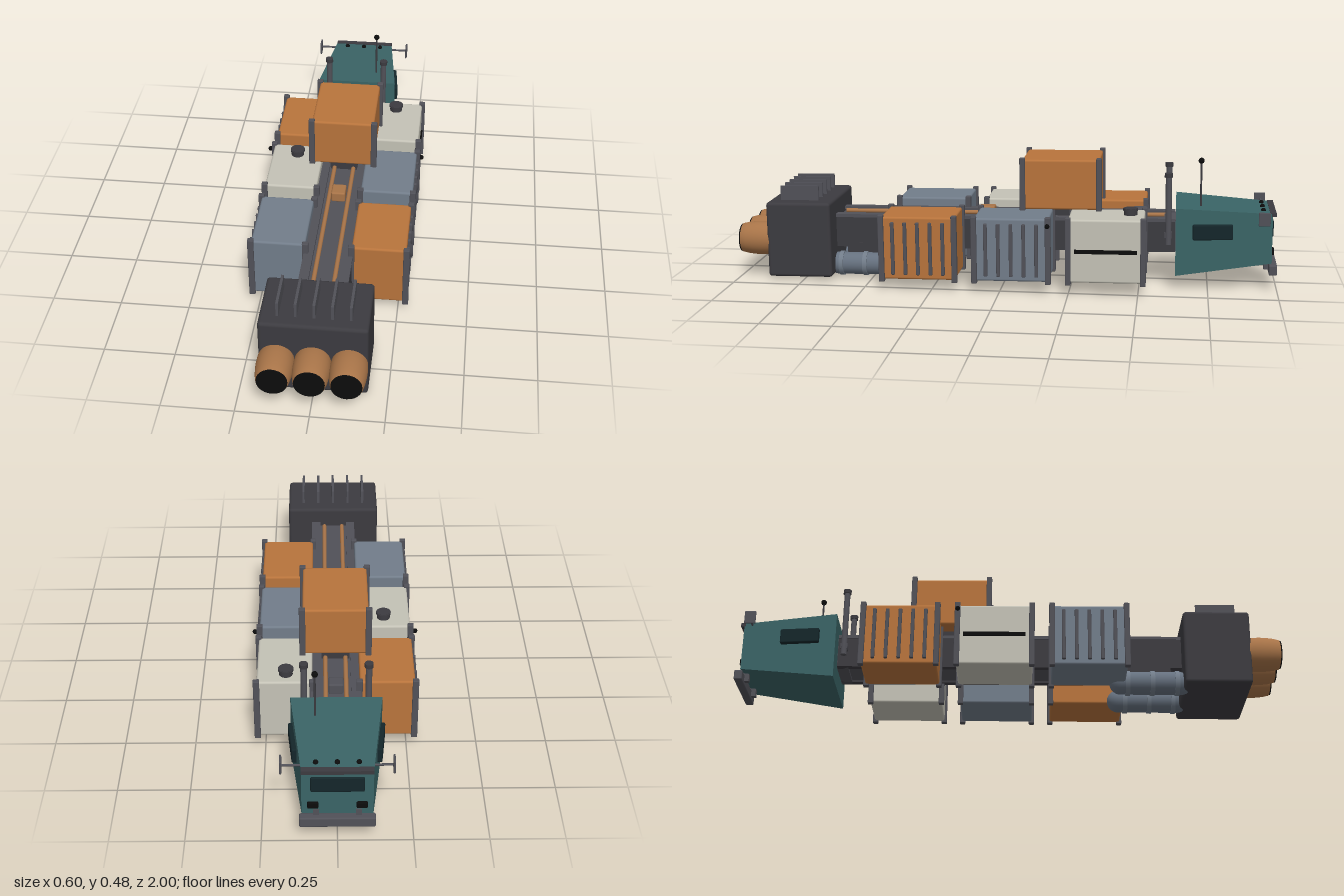
import * as THREE from 'three';
import { RoundedBoxGeometry } from 'three/addons/geometries/RoundedBoxGeometry.js';

const mat = (color, opts = {}) => new THREE.MeshStandardMaterial({ color, ...opts });
const M = {
  dark: mat(0x3c3b40), frame: mat(0x515158), orange: mat(0xb8743c), slate: mat(0x727d8a),
  cream: mat(0xc4c2b6), teal: mat(0x3a6466, { flatShading: true }), copper: mat(0xa87448), black: mat(0x0c0c0c),
  glass: mat(0x14262a), tank: mat(0x66717f),
};

function add(parent, name, geo, material, x = 0, y = 0, z = 0) {
  const m = new THREE.Mesh(geo, material);
  m.name = name;
  m.position.set(x, y, z);
  parent.add(m);
  return m;
}
const box = (w, h, d) => new THREE.BoxGeometry(w, h, d);
const rbox = (w, h, d, r = 0.006) => new RoundedBoxGeometry(w, h, d, 2, r);
const cyl = (r, h, r2 = r) => new THREE.CylinderGeometry(r, r2, h, 24);
const cylZ = (r, h) => cyl(r, h).rotateX(Math.PI / 2);

function group(parent, name) {
  const g = new THREE.Group();
  g.name = name;
  parent.add(g);
  return g;
}

// Cargo container with corner posts; side = +1 / -1 is the outward direction, 0 for none
function container(parent, color, x, y, z, w, h, d, side, tanker) {
  const g = group(parent, 'container');
  g.position.set(x, y, z);
  add(g, 'containerBody', rbox(w, h, d, 0.008), color);
  for (const sx of [-1, 1]) for (const sz of [-1, 1])
    add(g, 'cornerPost', rbox(0.022, h + 0.015, 0.02, 0.003), M.frame, sx * (w / 2 + 0.001), 0, sz * (d / 2 - 0.002));
  if (!side) return;
  if (tanker) {
    add(g, 'sideStripe', box(0.012, 0.014, d * 0.82), M.black, side * w / 2, 0, 0);
    add(g, 'hatch', cyl(0.024, 0.03), M.dark, side > 0 ? -0.005 : 0, h / 2 + 0.01, side > 0 ? -0.085 : -0.075);
    add(g, 'hatchRim', cyl(0.027, 0.008), M.dark, side > 0 ? -0.005 : 0, h / 2 + 0.02, side > 0 ? -0.085 : -0.075);
  } else {
    for (let i = -2; i <= 2; i++)
      add(g, 'sideRib', rbox(0.014, h * 0.84, 0.013, 0.003), M.frame, side * (w / 2 + 0.003), 0, i * 0.046);
  }
}

function buildSpine(root) {
  const g = group(root, 'spine');
  add(g, 'coreBeam', box(0.13, 0.1, 1.28), M.frame, 0, 0.178, 0.01);
  for (const s of [-1, 1]) {
    add(g, 'sideRail', box(0.024, 0.122, 1.28), M.dark, s * 0.072, 0.181, 0.01);
    add(g, 'railFlange', box(0.034, 0.012, 1.28), M.frame, s * 0.07, 0.24, 0.01);
    add(g, 'fuelPipe', cylZ(0.008, 1.24), M.copper, s * 0.036, 0.234, 0.01);
    for (const z of [0.295, -0.045, -0.385])
      add(g, 'containerBracket', box(0.03, 0.06, 0.1), M.frame, s * 0.085, 0.17, z);
  }
  add(g, 'valveBox', rbox(0.052, 0.04, 0.06), M.copper, 0, 0.25, 0.075);
  add(g, 'junctionBox', rbox(0.052, 0.04, 0.05), M.frame, 0, 0.25, -0.5);
  add(g, 'upperSaddle', box(0.1, 0.055, 0.2), M.dark, 0, 0.255, -0.21);
}

function buildEngine(root) {
  const g = group(root, 'engine');
  add(g, 'engineBlock', rbox(0.366, 0.283, 0.243, 0.012), M.dark, 0, 0.164, 0.763);
  for (let i = -2; i <= 2; i++)
    add(g, 'coolingFin', box(0.009, 0.065, 0.145), M.frame, i * 0.061, 0.327, 0.768);
  // Nozzles: rounded bells narrowing to a dark mouth
  const profile = [[0.058, 0.87], [0.062, 0.895], [0.063, 0.92], [0.062, 0.945], [0.059, 0.97], [0.054, 0.992], [0.049, 0.994]]
    .map(([r, z]) => new THREE.Vector2(r, z));
  for (const x of [-0.122, 0, 0.122]) {
    add(g, 'nozzle', new THREE.LatheGeometry(profile, 40).rotateX(Math.PI / 2), mat(0xa87448, { side: THREE.DoubleSide }), x, 0.158, 0);
    add(g, 'nozzleMouth', cylZ(0.052, 0.05), M.black, x, 0.158, 0.972);
  }
  // Tanks slung under the spine
  for (const s of [-1, 1]) {
    add(g, 'fuelTank', new THREE.CapsuleGeometry(0.042, 0.22, 8, 24).rotateX(Math.PI / 2), M.tank, s * 0.086, 0.057, 0.525);
    for (const z of [0.44, 0.53, 0.62]) add(g, 'tankBand', cylZ(0.046, 0.016), M.slate, s * 0.086, 0.057, z);
    add(g, 'tankHanger', box(0.03, 0.06, 0.16), M.dark, s * 0.07, 0.105, 0.52);
  }
}

function buildCab(root) {
  const g = group(root, 'cab');
  // Tapered shell: the forward (-z) end is narrower and lower
  const shell = box(2, 2, 2), p = shell.attributes.position;
  for (let i = 0; i < p.count; i++) {
    const nose = p.getZ(i) < 0, up = p.getY(i) > 0;
    p.setXYZ(i, Math.sign(p.getX(i)) * (nose ? 0.117 : 0.156),
      nose ? (up ? 0.276 : 0.092) : (up ? 0.299 : 0.049), nose ? -0.98 : -0.632);
  }
  shell.computeVertexNormals();
  add(g, 'cabShell', shell, M.teal);
  add(g, 'cabMount', box(0.15, 0.12, 0.06), M.frame, 0, 0.18, -0.62);
  add(g, 'windscreen', rbox(0.175, 0.06, 0.014, 0.005), M.glass, 0, 0.215, -0.979);
  add(g, 'windscreenVisor', box(0.235, 0.014, 0.022), M.dark, 0, 0.272, -0.982);
  add(g, 'bumper', rbox(0.25, 0.038, 0.03, 0.005), M.frame, 0, 0.067, -0.985);
  for (const s of [-1, 1]) {
    add(g, 'bumperArm', box(0.02, 0.05, 0.03), M.frame, s * 0.07, 0.085, -0.968);
    add(g, 'sideWindow', rbox(0.024, 0.056, 0.145, 0.005), M.glass, s * 0.145, 0.212, -0.765).rotation.y = s * 0.1;
    add(g, 'headlight', rbox(0.036, 0.024, 0.014, 0.004), M.black, s * 0.08, 0.13, -0.982);
    add(g, 'mirrorArm', cyl(0.004, 0.075).rotateZ(Math.PI / 2), M.frame, s * 0.147, 0.27, -0.95);
    add(g, 'mirror', rbox(0.007, 0.05, 0.042, 0.003), M.frame, s * 0.183, 0.27, -0.947);
    // Exhaust stacks behind the cab
    add(g, 'exhaustStack', cyl(0.011, 0.26), M.frame, s * 0.11, 0.285, -0.605);
    add(g, 'exhaustCap', cyl(0.015, 0.015), M.dark, s * 0.11, 0.413, -0.605);
    add(g, 'exhaustBracket', box(0.05, 0.02, 0.025), M.frame, s * 0.09, 0.19, -0.605);
  }
  for (const x of [-0.07, 0, 0.07])
    add(g, 'roofLight', new THREE.SphereGeometry(0.009, 16, 10), M.black, x, 0.28, -0.948);
  add(g, 'antenna', cyl(0.0035, 0.18), M.dark, 0.072, 0.375, -0.722);
  add(g, 'antennaTip', new THREE.SphereGeometry(0.011, 16, 12), M.black, 0.072, 0.461, -0.722);
}

export function createModel() {
  const root = new THREE.Group();
  root.name = 'cargoHauler';
  const body = group(root, 'hauler');
  body.rotation.x = 0.012; // nose sits slightly high
  buildSpine(body);
  buildEngine(body);
  buildCab(body);
  // Side containers, front to back: [left, right]
  const rows = [[0.295, M.orange, M.slate], [-0.045, M.slate, M.cream], [-0.385, M.cream, M.orange]];
  for (const [z, left, right] of rows)
    [[1, left], [-1, right]].forEach(([s, c]) =>
      container(body, c, s * 0.179, 0.163, z, 0.193, 0.232, 0.272, s, c === M.cream));
  for (const s of [-1, 1])
    add(body, 'markerLight', new THREE.SphereGeometry(0.009, 16, 12), M.black, s * 0.293, 0.257, -0.178);
  // Container stacked on top of the spine
  container(body, M.orange, 0, 0.373, -0.212, 0.232, 0.185, 0.285, 0, false);
  return root;
}
